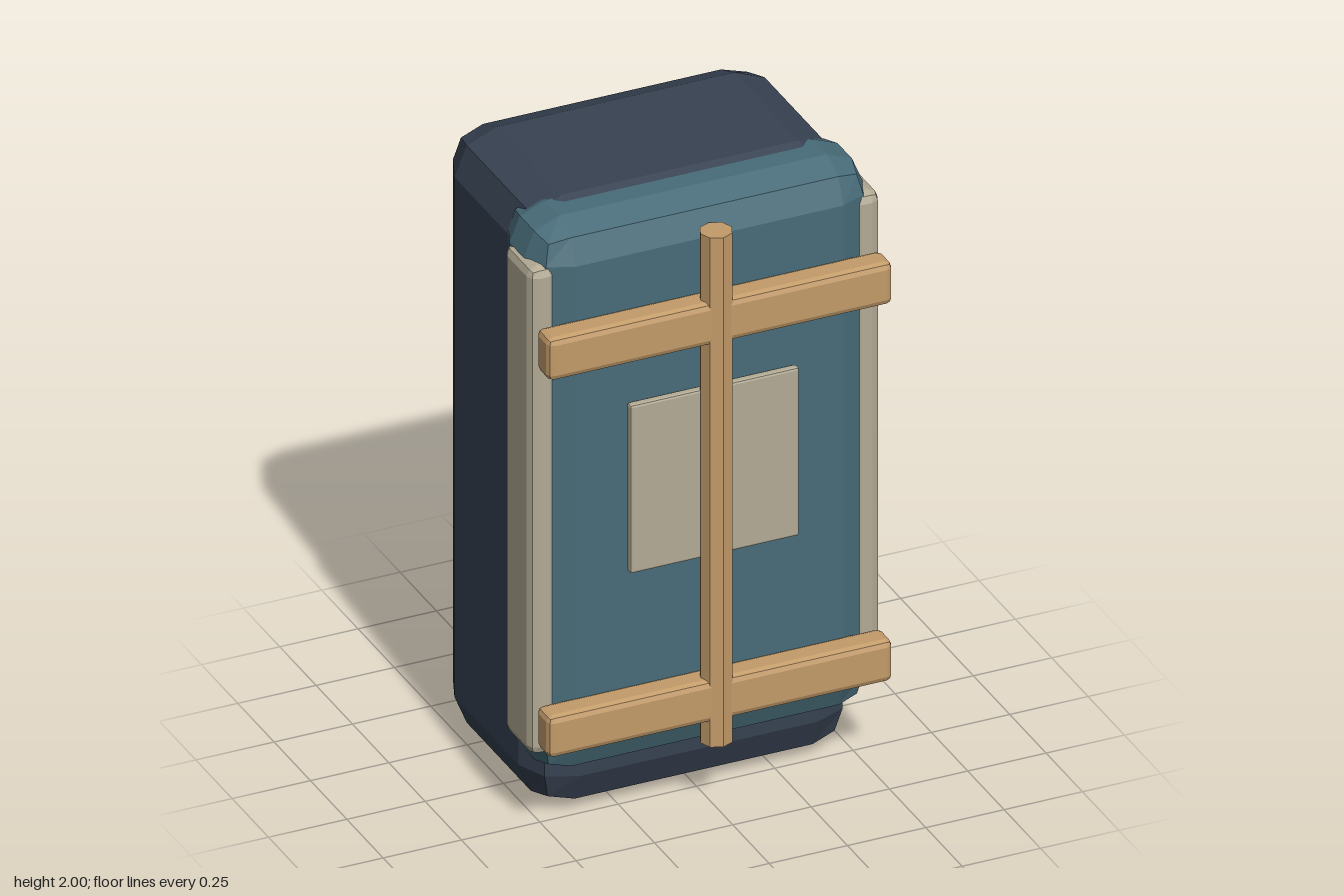
import * as THREE from 'three';
import { RoundedBoxGeometry } from 'three/addons/geometries/RoundedBoxGeometry.js';

const mat = (name, color) => {
  const m = new THREE.MeshStandardMaterial({ color, flatShading: true });
  m.name = name;
  return m;
};

export function createModel() {
  const group = new THREE.Group();
  const navy = mat('navy', 0x374252);
  const teal = mat('teal', 0x486c79);
  const beige = mat('beige', 0xb3ab95);
  const wood = mat('wood', 0xc39b6a);

  // Box with two-step bevels, given by its extents on each axis
  const block = (name, material, [x0, x1], [y0, y1], [z0, z1], radius) => {
    const mesh = new THREE.Mesh(
      new RoundedBoxGeometry(x1 - x0, y1 - y0, z1 - z0, 1, radius), material);
    mesh.position.set((x0 + x1) / 2, (y0 + y1) / 2, (z0 + z1) / 2);
    mesh.name = name;
    group.add(mesh);
  };

  // Main body and front cover
  block('body', navy, [-0.515, 0.515], [0, 2], [-0.44, 0.27], 0.135);
  block('frontCover', teal, [-0.54, 0.54], [0.165, 1.99], [0.015, 0.34], 0.113);

  // Side strips, mirrored
  block('leftSideStrip', beige, [0.47, 0.56], [0.26, 1.88], [0.125, 0.318], 0.03);
  block('rightSideStrip', beige, [-0.56, -0.47], [0.26, 1.88], [0.125, 0.318], 0.03);

  // Front panel behind the pole
  block('frontPanel', beige, [-0.27, 0.27], [0.835, 1.395], [0.35, 0.378], 0.008);

  // Cross bars
  block('upperBar', wood, [-0.55, 0.55], [1.56, 1.7], [0.33, 0.422], 0.02);
  block('lowerBar', wood, [-0.55, 0.55], [0.305, 0.443], [0.33, 0.422], 0.02);

  // Upright pole
  const pole = new THREE.Mesh(new THREE.CylinderGeometry(0.05, 0.05, 1.695, 8), wood);
  pole.position.set(0, 1.073, 0.385);
  pole.name = 'pole';
  group.add(pole);

  return group;
}
